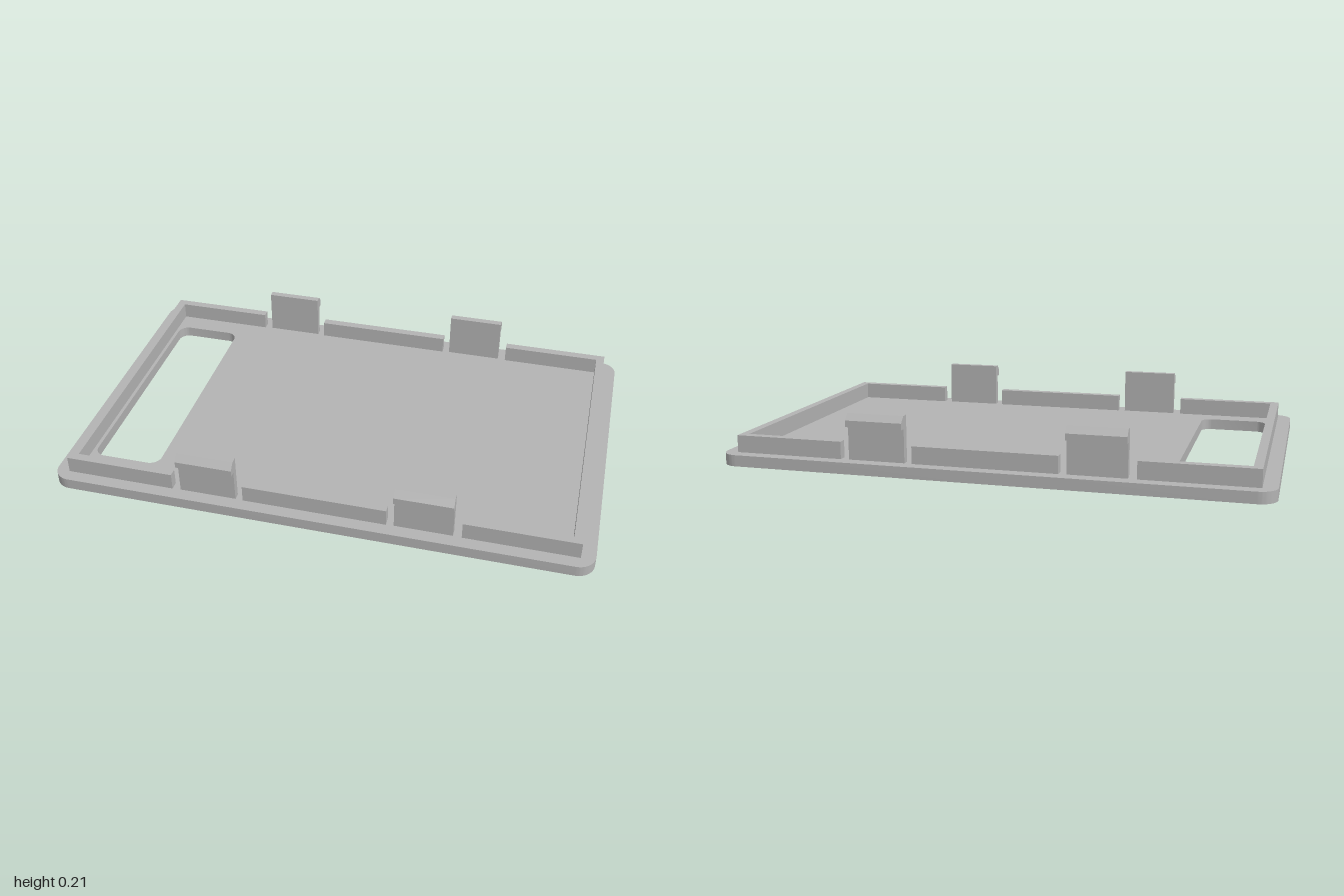
import * as THREE from 'three';
import { toCreasedNormals } from 'three/addons/utils/BufferGeometryUtils.js';

const PLATE_H = 0.042, LIP_TOP = 0.106;

// Trace a rounded rectangle into a Shape or Path
function roundedRect(path, x0, y0, x1, y1, r) {
  path.moveTo(x0 + r, y0);
  path.lineTo(x1 - r, y0);
  path.absarc(x1 - r, y0 + r, r, -Math.PI / 2, 0);
  path.lineTo(x1, y1 - r);
  path.absarc(x1 - r, y1 - r, r, 0, Math.PI / 2);
  path.lineTo(x0 + r, y1);
  path.absarc(x0 + r, y1 - r, r, Math.PI / 2, Math.PI);
  path.lineTo(x0, y0 + r);
  path.absarc(x0 + r, y0 + r, r, Math.PI, Math.PI * 1.5);
  return path;
}

const polygon = (pts) => new THREE.Shape(pts.map(([x, y]) => new THREE.Vector2(x, y)));

// Extrude a plan outline upwards from y0 to y1
function extrudeUp(shape, y0, y1) {
  const geo = new THREE.ExtrudeGeometry(shape, { depth: y1 - y0, bevelEnabled: false, curveSegments: 8 });
  geo.rotateX(-Math.PI / 2).translate(0, y0, 0);
  return toCreasedNormals(geo, 0.6);
}

export function createModel() {
  const model = new THREE.Group();
  model.name = 'snapOnCover';
  const grey = new THREE.MeshStandardMaterial({ color: 0xb3b3b3 });
  grey.name = 'grey plastic';

  const add = (name, geo, turned = false) => {
    const mesh = new THREE.Mesh(geo, grey);
    mesh.name = name;
    if (turned) mesh.rotation.y = Math.PI;
    model.add(mesh);
  };

  // Base plate with the window slot
  const plate = roundedRect(new THREE.Shape(), -1, -0.627, 1, 0.627, 0.065);
  plate.holes.push(roundedRect(new THREE.Path(), -0.903, -0.464, -0.643, 0.464, 0.042));
  add('basePlate', extrudeUp(plate, 0, PLATE_H));

  // C-shaped lip around each end
  const endLip = polygon([
    [0.537, -0.58], [0.948, -0.58], [0.948, 0.58], [0.537, 0.58],
    [0.537, 0.548], [0.916, 0.548], [0.916, -0.548], [0.537, -0.548],
  ]);
  const endGeo = extrudeUp(endLip, PLATE_H, LIP_TOP);
  add('leftEndLip', endGeo);
  add('rightEndLip', endGeo, true);

  // Straight lip between the clips
  const midGeo = new THREE.BoxGeometry(0.532, LIP_TOP - PLATE_H, 0.032);
  midGeo.translate(0, (LIP_TOP + PLATE_H) / 2, 0.564);
  add('frontMiddleLip', midGeo);
  add('backMiddleLip', midGeo, true);

  // Hooked snap clips: side profile (z, y) extruded along x
  const hook = polygon([
    [0.552, PLATE_H], [0.578, PLATE_H], [0.578, 0.166], [0.601, 0.166],
    [0.601, 0.19], [0.578, 0.213], [0.552, 0.213],
  ]);
  for (const x of [-0.4, 0.4]) {
    const clip = new THREE.ExtrudeGeometry(hook, { depth: 0.212, bevelEnabled: false });
    clip.translate(0, 0, -0.106).rotateY(-Math.PI / 2).translate(x, 0, 0);
    add('frontClip', clip);
    add('backClip', clip, true);
  }
  return model;
}
